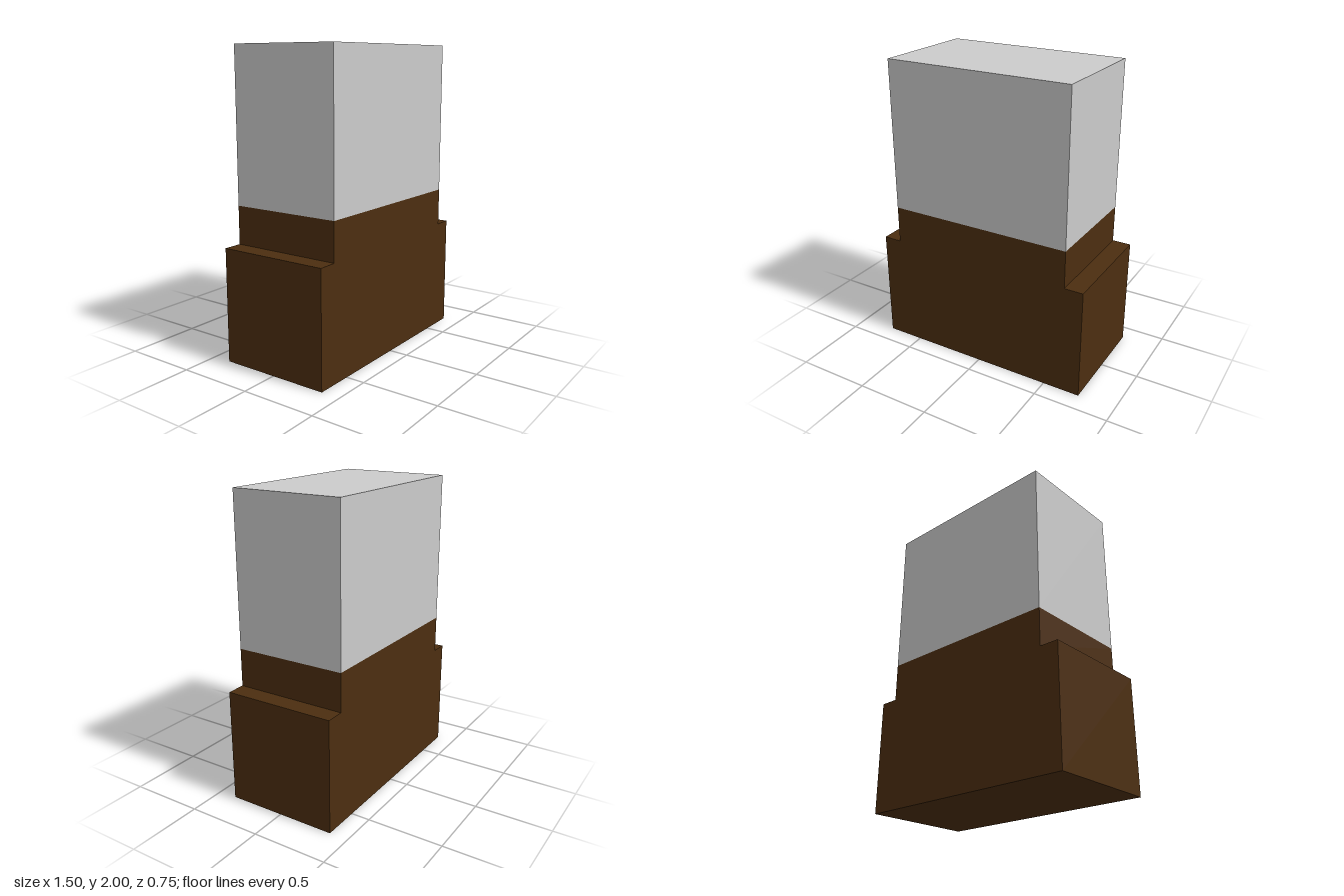
import * as THREE from 'three';

const DEPTH = 0.75;

export function createModel() {
  const group = new THREE.Group();
  const add = (name, geometry, color) => {
    const mesh = new THREE.Mesh(geometry, new THREE.MeshStandardMaterial({ color }));
    mesh.name = name;
    group.add(mesh);
    return mesh;
  };

  // Stepped brown base: wide block with a narrower shoulder on top
  const half = [[0.75, 0], [0.75, 0.75], [0.625, 0.75], [0.625, 1]];
  const mirrored = half.map(([x, y]) => [-x, y]).reverse();
  const profile = new THREE.Shape([...half, ...mirrored].map(([x, y]) => new THREE.Vector2(x, y)));
  const baseGeometry = new THREE.ExtrudeGeometry(profile, { depth: DEPTH, bevelEnabled: false });
  baseGeometry.translate(0, 0, -DEPTH / 2);
  add('steppedBase', baseGeometry, 0x4c2e10);

  // Grey block standing on the base
  add('upperBlock', new THREE.BoxGeometry(1.25, 1, DEPTH), 0xcccccc).position.y = 1.5;

  return group;
}
